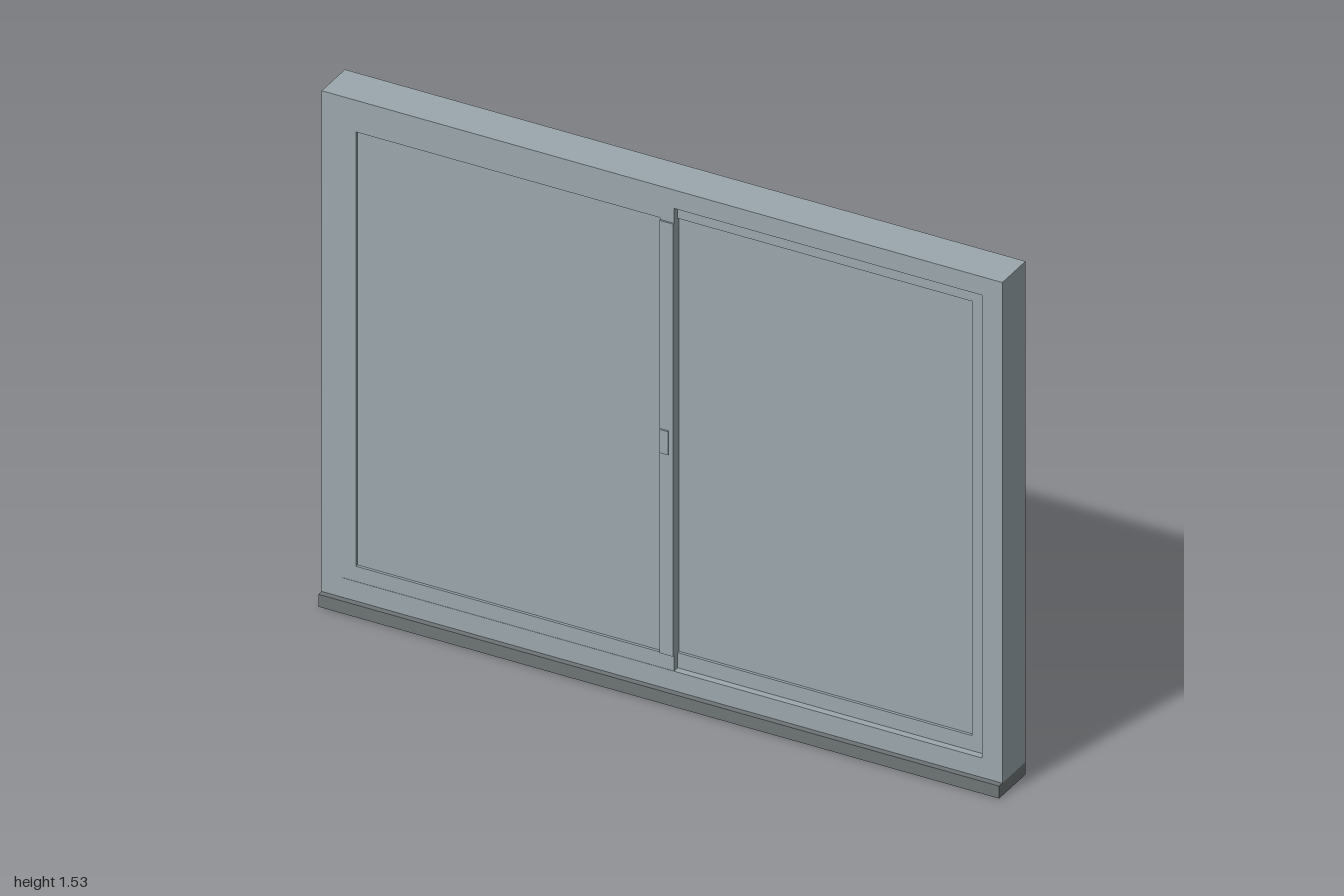
import * as THREE from 'three';

const frameMat = new THREE.MeshStandardMaterial({ color: 0x9aa7ac, name: 'blueGreyFrame' });
const sillMat = new THREE.MeshStandardMaterial({ color: 0x6e7476, name: 'darkGreySill' });
const backMat = new THREE.MeshStandardMaterial({ color: 0x22220f, name: 'darkBacking' });

// Box given by its limits on each axis
function slab(name, mat, [x0, x1], [y0, y1], [z0, z1]) {
  const geo = new THREE.BoxGeometry(x1 - x0, y1 - y0, z1 - z0);
  geo.translate((x0 + x1) / 2, (y0 + y1) / 2, (z0 + z1) / 2);
  const mesh = new THREE.Mesh(geo, mat);
  mesh.name = name;
  return mesh;
}

// Rectangular ring with a rectangular opening, extruded between two depths
function ring(name, mat, [x0, x1], [y0, y1], [hx0, hx1], [hy0, hy1], [z0, z1]) {
  const rect = (a, b, c, d) => [[a, c], [b, c], [b, d], [a, d]].map(p => new THREE.Vector2(...p));
  const shape = new THREE.Shape(rect(x0, x1, y0, y1));
  shape.holes.push(new THREE.Path(rect(hx0, hx1, hy0, hy1).reverse()));
  const geo = new THREE.ExtrudeGeometry(shape, { depth: z1 - z0, bevelEnabled: false });
  geo.translate(0, 0, z0);
  const mesh = new THREE.Mesh(geo, mat);
  mesh.name = name;
  return mesh;
}

// Sash frame with its pane set slightly back
function sash(name, x, glassX, z) {
  const group = new THREE.Group();
  group.name = name;
  const y = [0.095, 1.475], glassY = [0.14, 1.435];
  group.add(
    ring(name + 'Frame', frameMat, x, y, glassX, glassY, z),
    slab(name + 'Pane', frameMat, glassX, glassY, [z[0] + 0.002, z[1] - 0.008])
  );
  return group;
}

export function createModel() {
  const model = new THREE.Group();
  model.name = 'slidingWindow';

  // Outer frame and projecting sill
  model.add(
    ring('outerFrame', frameMat, [-1, 1], [0.037, 1.53], [-0.94, 0.94], [0.095, 1.475], [-0.07, 0.053]),
    slab('sill', sillMat, [-1, 1], [0, 0.037], [-0.07, 0.07])
  );

  // Front sash and the sash that slides behind it
  model.add(
    sash('frontSash', [-0.94, 0.035], [-0.9, -0.005], [0.033, 0.052]),
    sash('rearSash', [-0.005, 0.94], [0.035, 0.9], [0.002, 0.033])
  );

  // Meeting stile cover and pull handle
  model.add(
    slab('meetingStile', frameMat, [-0.005, 0.035], [0.14, 1.43], [0.05, 0.057]),
    slab('handle', frameMat, [-0.003, 0.022], [0.74, 0.81], [0.055, 0.062])
  );

  // Dark sheet closing the opening behind the sashes
  model.add(slab('backPanel', backMat, [-0.94, 0.94], [0.095, 1.475], [-0.008, -0.002]));

  return model;
}
